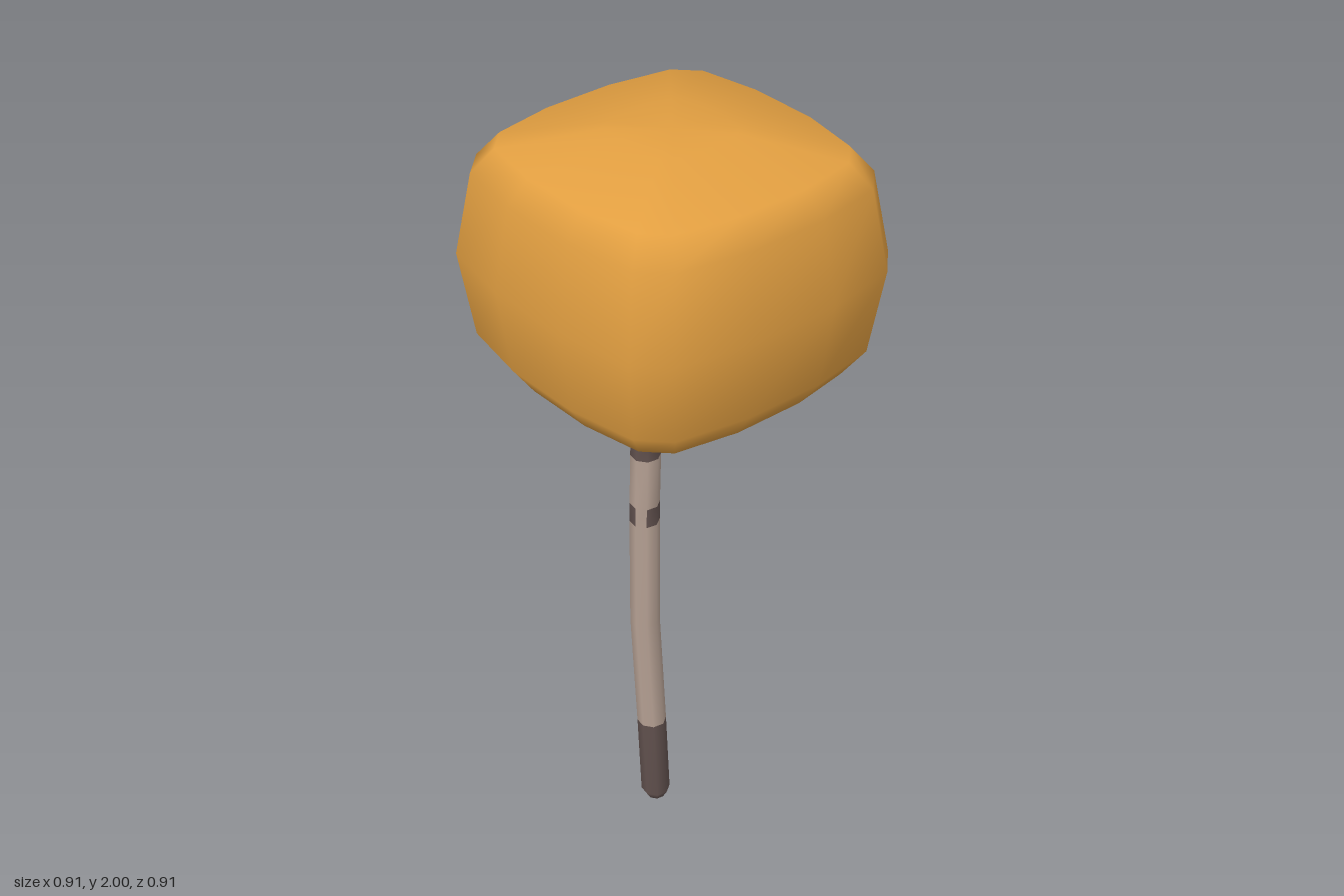
import * as THREE from 'three';

const foliageMat = new THREE.MeshStandardMaterial({ color: 0xe29f41 });
foliageMat.name = 'foliage amber';
const barkMat = new THREE.MeshStandardMaterial({ color: 0xb5a093 });
barkMat.name = 'pale bark';
const darkMat = new THREE.MeshStandardMaterial({ color: 0x61514e });
darkMat.name = 'dark bark';

// Skin a list of equal-length rings (bottom to top, clockwise seen from above) and cap both ends.
// isSecond(row, side) picks material 1 for a face.
function skinRings(rings, isSecond = () => false) {
  const n = rings[0].length;
  const pos = rings.flat();
  const lists = [[], []];
  for (let r = 0; r < rings.length - 1; r++) {
    for (let i = 0; i < n; i++) {
      const j = (i + 1) % n;
      const a = r * n + i, b = r * n + j, c = a + n, d = b + n;
      lists[isSecond(r, i) ? 1 : 0].push(a, c, b, b, c, d);
    }
  }
  [0, rings.length - 1].forEach((r) => {
    const centre = new THREE.Vector3();
    rings[r].forEach((p) => centre.addScaledVector(p, 1 / n));
    const k = pos.push(centre) - 1;
    for (let i = 0; i < n; i++) {
      const a = r * n + i, b = r * n + (i + 1) % n;
      if (r) lists[isSecond(r, i) ? 1 : 0].push(a, k, b);
      else lists[isSecond(0, i) ? 1 : 0].push(a, b, k);
    }
  });
  const geo = new THREE.BufferGeometry().setFromPoints(pos);
  geo.setIndex([...lists[0], ...lists[1]]);
  geo.addGroup(0, lists[0].length, 0);
  geo.addGroup(lists[0].length, lists[1].length, 1);
  geo.computeVertexNormals();
  return geo;
}

// Bulging rounded block: one side's outline turned four times, stacked in rings
function makeCanopy() {
  const side = [[-0.222, -0.453], [-0.02, -0.443], [0.21, -0.39], [0.4, -0.308]];
  const outline = [];
  for (let q = 0; q < 4; q++) {
    for (const [x, z] of side) {
      outline.push([[x, z], [-z, x], [-x, -z], [z, -x]][q]);
    }
  }
  const levels = [
    [1.383, 0.3], [1.39, 0.81], [1.46, 0.925], [1.68, 1],
    [1.89, 0.915], [1.952, 0.8], [2, 0.3],
  ];
  const rings = levels.map(([y, s]) => outline.map(([x, z]) => new THREE.Vector3(x * s, y, z * s)));
  const mesh = new THREE.Mesh(skinRings(rings), [foliageMat, foliageMat]);
  mesh.name = 'canopy';
  return mesh;
}

// Slightly bent eight-sided trunk with a dark foot and two partial bark bands
function makeTrunk() {
  const path = [
    [0, -0.057, -0.013], [0.27, -0.062, -0.022], [0.61, -0.068, -0.037],
    [0.95, -0.065, -0.038], [1.2, -0.061, -0.034], [1.5, -0.057, -0.012],
  ];
  const at = (y) => {
    let i = 0;
    while (i < path.length - 2 && y > path[i + 1][0]) i++;
    const [a, b] = [path[i], path[i + 1]];
    const t = (y - a[0]) / (b[0] - a[0]);
    return [a[1] + (b[1] - a[1]) * t, a[2] + (b[2] - a[2]) * t];
  };
  const rows = [0, 0.025, 0.27, 0.61, 0.925, 0.98, 1.125, 1.16, 1.3, 1.5];
  const rings = rows.map((y) => {
    const [cx, cz] = at(y);
    const r = y === 0 ? 0.024 : 0.0385;
    return Array.from({ length: 8 }, (_, i) => {
      const a = i * Math.PI / 4;
      return new THREE.Vector3(cx + r * Math.cos(a), y, cz + r * Math.sin(a));
    });
  });
  const dark = (row, i) => row < 2
    || (row === 4 && i !== 3)
    || (row === 6 && i >= 1 && i <= 5);
  const mesh = new THREE.Mesh(skinRings(rings, dark), [barkMat, darkMat]);
  mesh.name = 'trunk';
  return mesh;
}

// Side branch that bends up into the canopy
function makeBranch() {
  const points = [
    [-0.055, 1.205, -0.033], [0.02, 1.206, -0.04], [0.085, 1.212, -0.052], [0.14, 1.226, -0.062],
    [0.155, 1.262, -0.067], [0.166, 1.32, -0.071], [0.166, 1.48, -0.074],
  ].map((p) => new THREE.Vector3(...p));
  const curve = new THREE.CatmullRomCurve3(points, false, 'catmullrom', 0.2);
  const mesh = new THREE.Mesh(new THREE.TubeGeometry(curve, 16, 0.025, 8), barkMat);
  mesh.name = 'branch';
  return mesh;
}

export function createModel() {
  const tree = new THREE.Group();
  tree.name = 'tree';
  tree.add(makeCanopy(), makeTrunk(), makeBranch());
  return tree;
}
